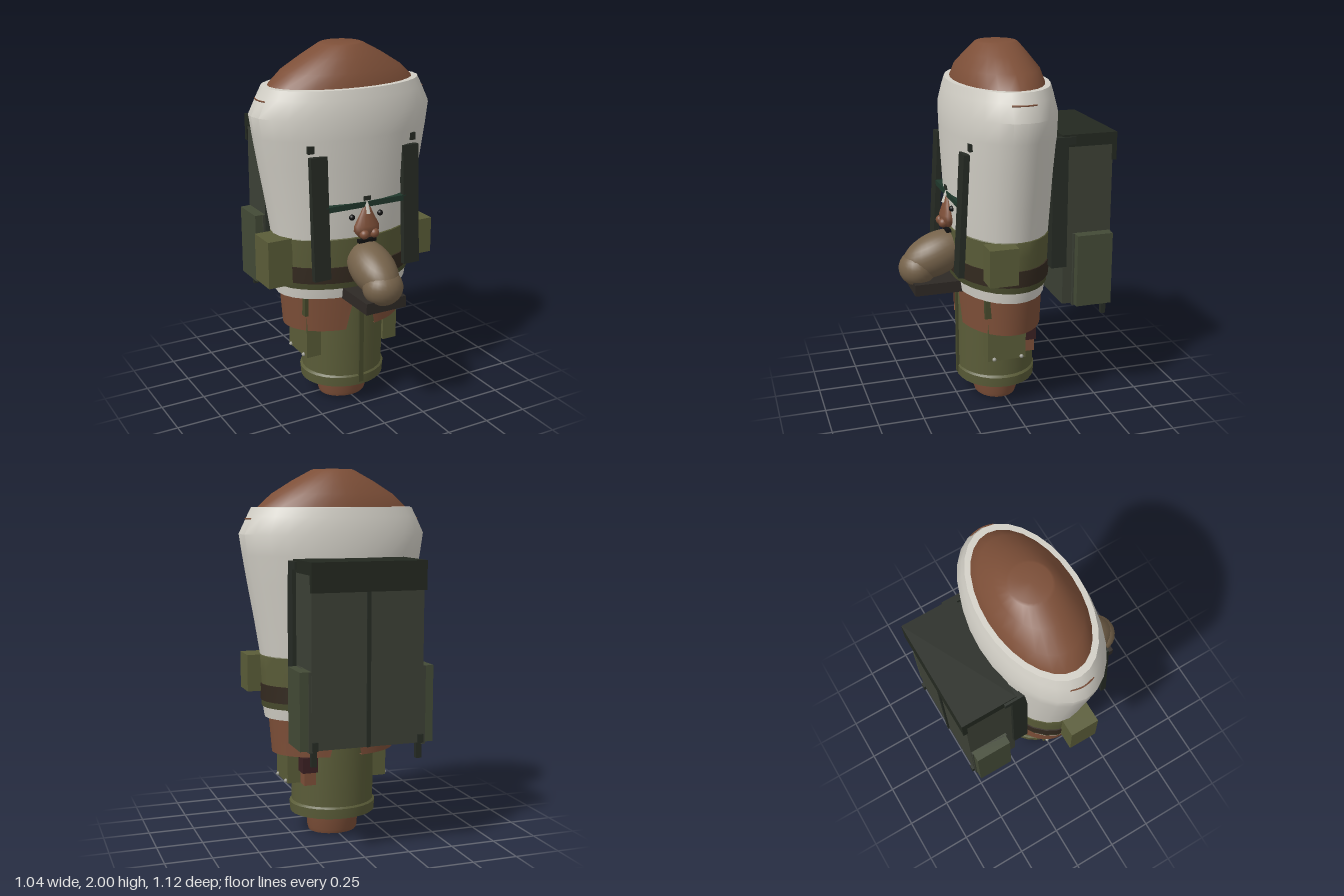
import * as THREE from 'three';
import { toCreasedNormals } from 'three/addons/utils/BufferGeometryUtils.js';

const COLORS = {
  skin: 0x7d4f38, shirt: 0xd2cfc6, olive: 0x5a5c38, darkOlive: 0x474a2c, belt: 0x33291f,
  pack: 0x3c4035, packPocket: 0x434a36, lid: 0x232820, strap: 0x262b24, chest: 0x20382c,
  fur: 0x75624a, ledge: 0x2e2925, black: 0x111111, maroon: 0x3a2022, button: 0x9a9a90,
};
const mats = {};
for (const k in COLORS) mats[k] = new THREE.MeshStandardMaterial({ color: COLORS[k], side: THREE.DoubleSide });

// Elliptical cross-sections [y, rx, rz, zCentre, gap], bottom to top.
// With side = 1 or -1 only that half is made, leaving a slot of half-width gap front and back.
function loft(rings, side = 0, seg = 28) {
  const pos = [], idx = [];
  for (const [y, rx, rz, cz = 0.01, gap = 0] of rings) {
    const g = Math.asin(gap / Math.max(rx, gap, 1e-4));
    for (let j = 0; j <= seg; j++) {
      const u = j / seg;
      const a = side === 0 ? u * Math.PI * 2
        : (side < 0 ? Math.PI : 0) + (u - 0.5) * (Math.PI - 2 * g);
      pos.push(rx * Math.cos(a), y, cz + rz * Math.sin(a));
    }
  }
  for (let i = 0; i < rings.length - 1; i++) {
    for (let j = 0; j < seg; j++) {
      const a = i * (seg + 1) + j, c = a + seg + 1;
      idx.push(a, c, a + 1, a + 1, c, c + 1);
    }
  }
  const geo = new THREE.BufferGeometry();
  geo.setAttribute('position', new THREE.Float32BufferAttribute(pos, 3));
  geo.setIndex(idx);
  return toCreasedNormals(geo, 0.65);
}

export function createModel() {
  const model = new THREE.Group();
  model.name = 'figure';
  const add = (name, geo, mat) => {
    const m = new THREE.Mesh(geo, mats[mat]);
    m.name = name;
    model.add(m);
    return m;
  };
  // Box given by its extents on each axis
  const box = (name, mat, x0, x1, y0, y1, z0, z1) => {
    const m = add(name, new THREE.BoxGeometry(Math.abs(x1 - x0), y1 - y0, z1 - z0), mat);
    m.position.set((x0 + x1) / 2, (y0 + y1) / 2, (z0 + z1) / 2);
    return m;
  };
  const ball = (name, mat, x, y, z, rx, ry = rx, rz = rx) => {
    const m = add(name, new THREE.SphereGeometry(1, 24, 16), mat);
    m.scale.set(rx, ry, rz);
    m.position.set(x, y, z);
    return m;
  };

  // Foot and trouser leg
  add('foot', loft([[0, 0, 0, 0.02], [0, 0.135, 0.115, 0.02], [0.02, 0.142, 0.122, 0.02],
    [0.13, 0.15, 0.13, 0.02]]), 'skin');
  add('trouserLeg', loft([[0.17, 0.2, 0.19, 0.02], [0.18, 0.23, 0.215, 0.02],
    [0.68, 0.235, 0.218, 0.02]]), 'olive');
  add('trouserCuff', loft([[0.115, 0.14, 0.12, 0.02], [0.115, 0.238, 0.218, 0.02],
    [0.17, 0.243, 0.222, 0.02], [0.185, 0.225, 0.21, 0.02]]), 'olive');
  box('trouserSeam', 'darkOlive', -0.014, 0.014, 0.135, 0.68, 0.2, 0.247);

  // Hip flaps, slotted front and back
  for (const s of [-1, 1]) {
    add('hipFlap', loft([[0.47, 0.2, 0.19, 0.01, 0.09], [0.47, 0.347, 0.23, 0.01, 0.09],
      [0.68, 0.365, 0.236, 0.01, 0.04]], s), 'skin');
  }

  // Waist layers
  add('shirtHem', loft([[0.67, 0.2, 0.15], [0.67, 0.388, 0.245], [0.74, 0.398, 0.255]]), 'shirt');
  add('lowerBand', loft([[0.73, 0.3, 0.2], [0.73, 0.402, 0.262], [0.78, 0.405, 0.266]]), 'darkOlive');
  add('waistBelt', loft([[0.765, 0.35, 0.22], [0.765, 0.408, 0.272], [0.855, 0.41, 0.274],
    [0.855, 0.35, 0.22]]), 'belt');
  add('oliveBand', loft([[0.84, 0.403, 0.266], [0.93, 0.408, 0.27], [1.01, 0.412, 0.274],
    [1.03, 0.4, 0.25]]), 'olive');

  // Shirt and domed head
  add('shirt', loft([[0.85, 0.385, 0.25], [1.0, 0.407, 0.268], [1.2, 0.44, 0.28], [1.4, 0.477, 0.289],
    [1.55, 0.503, 0.294], [1.66, 0.52, 0.294], [1.75, 0.476, 0.274], [1.8, 0.45, 0.26],
    [1.802, 0.4, 0.22]]), 'shirt');
  add('headDome', loft([[1.78, 0.425, 0.238], [1.805, 0.412, 0.231], [1.87, 0.34, 0.212],
    [1.94, 0.225, 0.158], [1.995, 0.12, 0.112], [2, 0.105, 0.1], [2, 0, 0]]), 'skin');
  for (const s of [-1, 1]) {
    const pts = [-0.065, -0.03, 0, 0.03, 0.065].map(z =>
      new THREE.Vector3(s * 0.482 * Math.sqrt(1 - (z / 0.276) ** 2), 1.74, z + 0.01));
    add('shoulderSlit', new THREE.TubeGeometry(new THREE.CatmullRomCurve3(pts), 10, 0.004, 5), 'skin');
  }

  // Face
  const nose = add('nose', new THREE.LatheGeometry([[0, 0], [0.045, 0.005], [0.075, 0.04], [0.072, 0.07],
    [0.045, 0.12], [0.02, 0.17], [0, 0.19]].map(p => new THREE.Vector2(...p)), 16), 'skin');
  nose.position.set(0, 1.01, 0.288);
  nose.scale.z = 0.55;
  const peak = add('nosePeak', new THREE.ConeGeometry(0.03, 0.08, 4), 'shirt');
  peak.position.set(0, 1.185, 0.29);
  box('browTab', 'strap', -0.02, 0.02, 1.215, 1.238, 0.27, 0.297);
  box('mouth', 'black', -0.052, 0.052, 0.985, 1.003, 0.26, 0.305);
  box('chestStrap', 'chest', -0.24, 0.24, 1.178, 1.208, 0.245, 0.293);
  for (const s of [-1, 1]) {
    ball('nostril', 'skin', s * 0.03, 1.038, 0.318, 0.026);
    ball('eye', 'black', s * 0.085, 1.13, 0.283, 0.016);
  }

  // Rounded bundle resting on a front ledge
  box('frontLedge', 'ledge', -0.12, 0.12, 0.665, 0.728, 0.2, 0.5);
  const bundle = ball('bundle', 'fur', 0, 0.855, 0.355, 0.119, 0.118, 0.2);
  bundle.rotation.x = 0.4;
  ball('bundleTip', 'fur', 0, 0.785, 0.46, 0.11, 0.097, 0.102);

  // Harness, mirrored
  for (const s of [-1, 1]) {
    const strap = box('frontStrap', 'strap', s * 0.225, s * 0.32, 0.82, 1.475, 0.264, 0.296);
    strap.rotation.x = -0.055;
    box('frontClip', 'strap', s * 0.285, s * 0.32, 1.49, 1.53, 0.225, 0.25);
    box('backStrap', 'strap', s * 0.225, s * 0.32, 0.82, 1.51, -0.285, -0.2);
    box('backClip', 'strap', s * 0.285, s * 0.32, 1.49, 1.53, -0.325, -0.215);
  }

  // Waist pouches, uneven on purpose
  box('rightPouch', 'olive', -0.5, -0.36, 0.755, 1.015, -0.03, 0.135);
  box('leftPouch', 'olive', 0.36, 0.478, 0.81, 1.01, 0.035, 0.19);

  // Trouser pockets with buttons and hanging tabs
  for (const s of [-1, 1]) {
    box('trouserPocket', 'olive', s * 0.2, s * 0.287, 0.305, 0.6, -0.07, 0.145);
    box('hangingTab', 'darkOlive', s * 0.285, s * 0.305, 0.565, 0.67, 0.12, 0.165);
    for (const z of [-0.045, 0.11]) ball('pocketButton', 'button', s * 0.29, 0.315, z, 0.011);
  }
  box('holster', 'maroon', 0.12, 0.225, 0.375, 0.46, -0.152, -0.06);
  box('holsterTip', 'skin', 0.12, 0.215, 0.305, 0.385, -0.145, -0.06);

  // Backpack
  box('packBody', 'pack', -0.3, 0.3, 0.6, 1.48, -0.54, -0.272);
  box('packLid', 'lid', -0.307, 0.307, 1.475, 1.54, -0.56, -0.255);
  box('packLidFlap', 'lid', -0.307, 0.307, 1.39, 1.48, -0.56, -0.535);
  box('packCentreStrap', 'strap', -0.01, 0.01, 0.6, 1.4, -0.549, -0.53);
  for (const s of [-1, 1]) {
    box('packSidePocket', 'packPocket', s * 0.3, s * 0.36, 0.6, 1.0, -0.532, -0.333);
    box('packPocketBack', 'pack', s * 0.295, s * 0.315, 0.59, 1.0, -0.538, -0.325);
    box('packStrapEnd', 'strap', s * 0.27, s * 0.3, 0.515, 0.65, -0.53, -0.505);
    box('packStrapLoop', 'strap', s * 0.27, s * 0.3, 0.6, 0.645, -0.553, -0.53);
  }
  return model;
}
